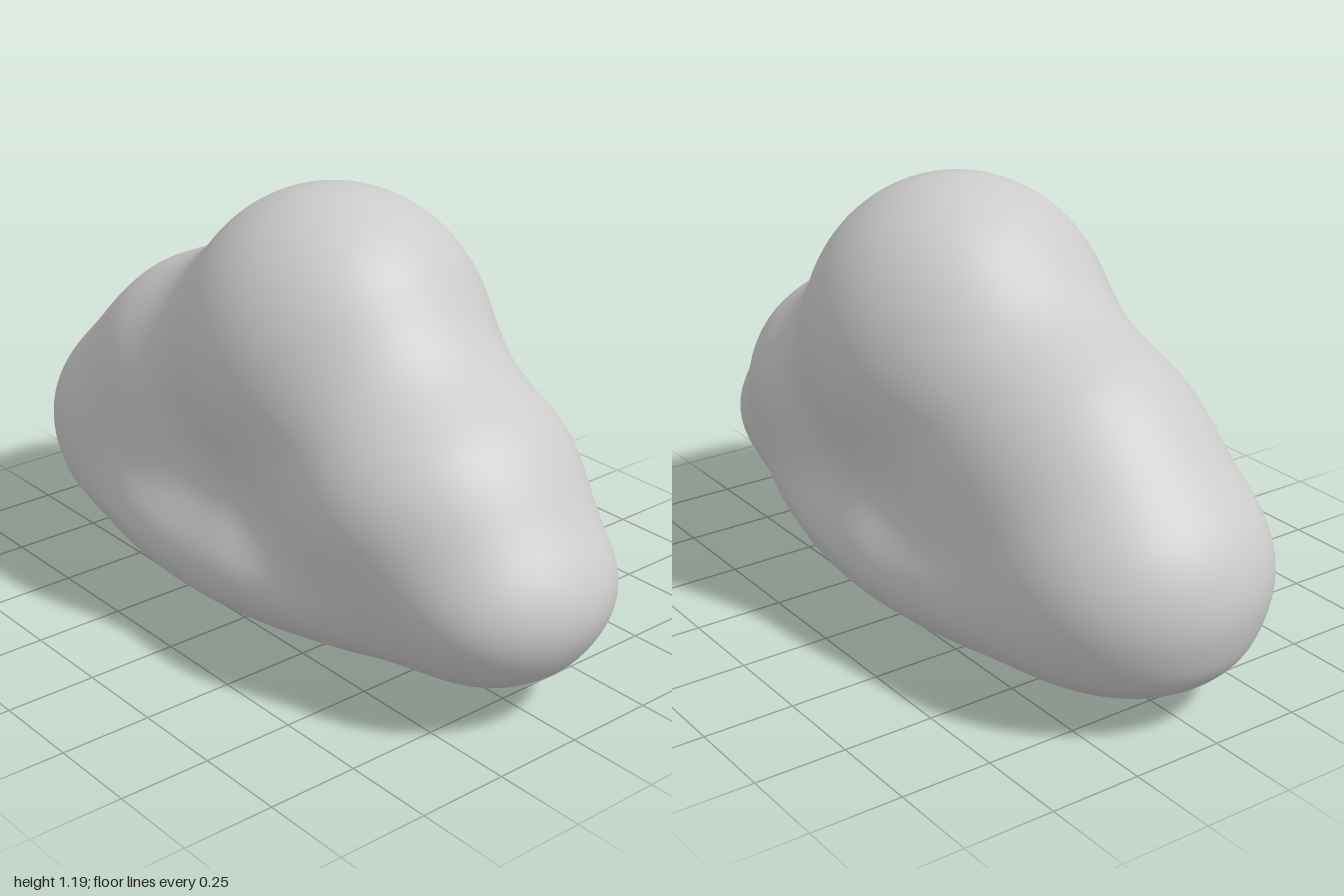
import * as THREE from 'three';
import { mergeVertices } from 'three/addons/utils/BufferGeometryUtils.js';

// Puffs of the cloud: centre and radii of each ellipsoid
const puffs = [
  { c: [-0.07, 0.23, 0], r: [0.85, 0.23, 0.445] },     // flat base
  { c: [0.06, 0.73, -0.02], r: [0.44, 0.46, 0.42] },   // top dome
  { c: [-0.43, 0.53, 0], r: [0.355, 0.355, 0.355] },   // right shoulder
  { c: [-0.72, 0.36, 0], r: [0.265, 0.25, 0.31] },     // right end
  { c: [0.52, 0.5, 0.01], r: [0.335, 0.305, 0.375] },  // left shoulder
  { c: [0.8, 0.31, 0.01], r: [0.195, 0.175, 0.255] },  // left end
];
const BLEND = 0.22;

// Approximate signed distance to an ellipsoid
function ellipsoid(p, { c, r }) {
  const d = [p.x - c[0], p.y - c[1], p.z - c[2]];
  const k0 = Math.hypot(d[0] / r[0], d[1] / r[1], d[2] / r[2]);
  const k1 = Math.hypot(d[0] / r[0] ** 2, d[1] / r[1] ** 2, d[2] / r[2] ** 2);
  return k1 < 1e-6 ? -Math.min(...r) : (k0 * (k0 - 1)) / k1;
}

// Smooth union of all puffs
function field(p) {
  return puffs.reduce((a, puff) => {
    const b = ellipsoid(p, puff);
    const h = Math.max(BLEND - Math.abs(a - b), 0) / BLEND;
    return Math.min(a, b) - h * h * BLEND * 0.25;
  }, 10);
}

// Outermost surface point along a ray from the core
function surfacePoint(core, dir, out) {
  const at = (t) => field(out.copy(core).addScaledVector(dir, t));
  let hi = 1.3;
  while (hi > 0.05 && at(hi - 0.02) > 0) hi -= 0.02;
  let lo = hi - 0.02;
  for (let i = 0; i < 14; i++) {
    const mid = (lo + hi) / 2;
    if (at(mid) > 0) hi = mid; else lo = mid;
  }
  return out.copy(core).addScaledVector(dir, lo);
}

export function createModel() {
  const group = new THREE.Group();
  group.name = 'cloud';

  // Wrap a fine sphere onto the blended puffs
  let geometry = new THREE.IcosahedronGeometry(1, 40);
  geometry.deleteAttribute('uv');
  geometry.deleteAttribute('normal');
  geometry = mergeVertices(geometry, 1e-4);
  const pos = geometry.attributes.position;
  const core = new THREE.Vector3(0, 0.42, 0);
  const dir = new THREE.Vector3();
  const p = new THREE.Vector3();
  for (let i = 0; i < pos.count; i++) {
    dir.fromBufferAttribute(pos, i);
    dir.set(dir.x, dir.y * 0.65, dir.z * 0.5).normalize();
    surfacePoint(core, dir, p);
    pos.setXYZ(i, p.x, p.y, p.z);
  }
  geometry.computeVertexNormals();

  const body = new THREE.Mesh(geometry, new THREE.MeshStandardMaterial({ color: 0xcccccc }));
  body.name = 'cloudBody';
  group.add(body);
  return group;
}
